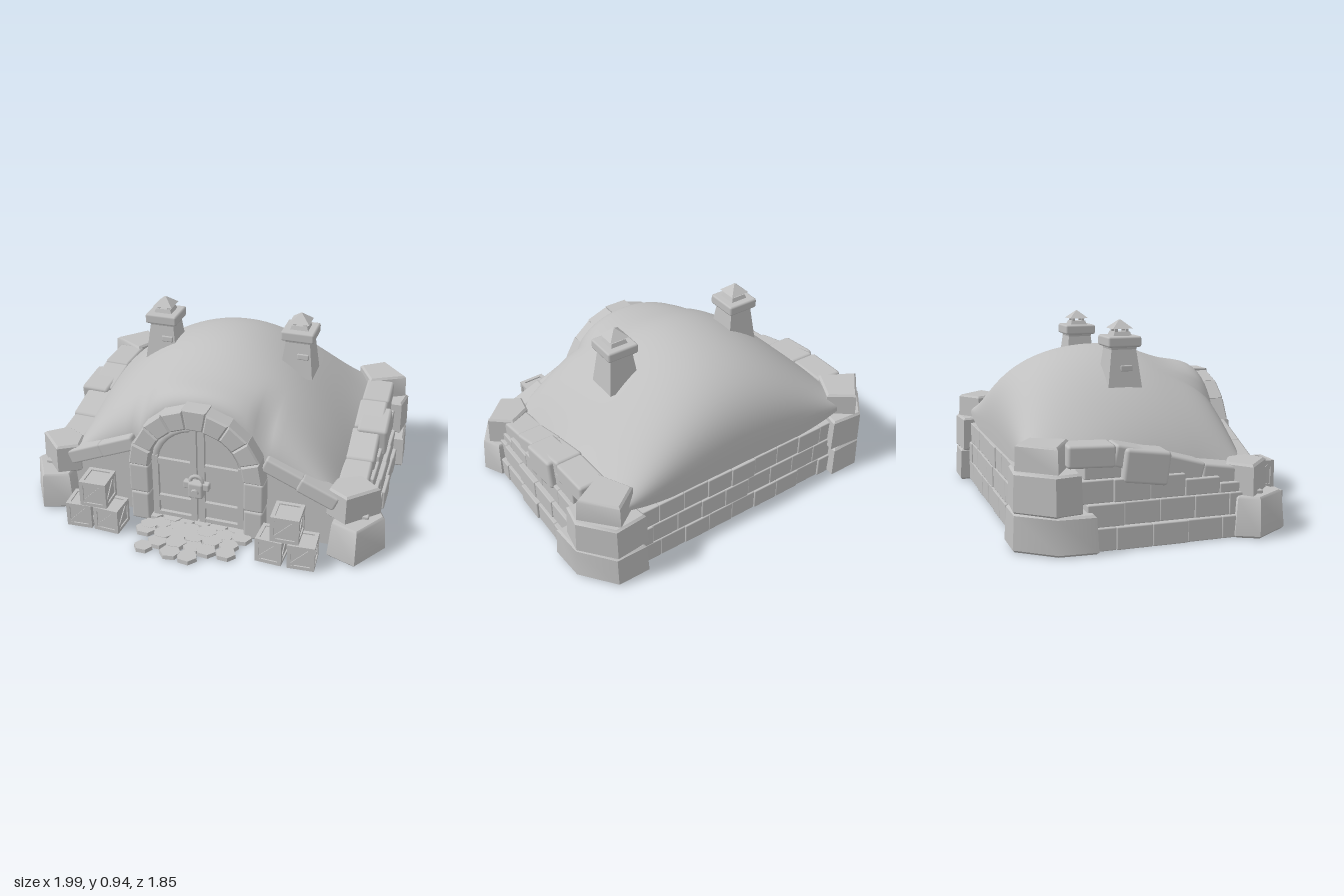
import * as THREE from 'three';
import { RoundedBoxGeometry } from 'three/addons/geometries/RoundedBoxGeometry.js';
import { toCreasedNormals } from 'three/addons/utils/BufferGeometryUtils.js';

const stone = new THREE.MeshStandardMaterial({ color: 0xc0c0c0 });
stone.name = 'grey stone';

let seed = 7;
const rnd = (a) => {
  seed = (seed * 16807) % 2147483647;
  return (seed / 2147483647 - 0.5) * 2 * a;
};
const { clamp, lerp, smoothstep } = THREE.MathUtils;

function add(parent, name, geo, x = 0, y = 0, z = 0, rx = 0, ry = 0, rz = 0) {
  const m = new THREE.Mesh(geo, stone);
  m.name = name;
  m.position.set(x, y, z);
  m.rotation.set(rx, ry, rz);
  parent.add(m);
  return m;
}
const box = (w, h, d) => new THREE.BoxGeometry(w, h, d);
const block = (w, h, d, r = 0.012) => new RoundedBoxGeometry(w, h, d, 1, r);

// Prism with bevelled edges from plan points (x, z), standing from y0 to y1
function prism(points, y0, y1, taper = 1, bevel = 0.01) {
  const shape = new THREE.Shape(points.map(([x, z]) => new THREE.Vector2(x, -z)));
  const g = new THREE.ExtrudeGeometry(shape, {
    depth: y1 - y0 - 2 * bevel, bevelThickness: bevel, bevelSize: bevel, bevelOffset: -bevel, bevelSegments: 1,
  });
  g.rotateX(-Math.PI / 2).translate(0, y0 + bevel, 0);
  const cx = points.reduce((s, p) => s + p[0], 0) / points.length;
  const cz = points.reduce((s, p) => s + p[1], 0) / points.length;
  const p = g.attributes.position;
  for (let i = 0; i < p.count; i++) {
    const k = lerp(1, taper, (p.getY(i) - y0) / (y1 - y0));
    p.setX(i, cx + (p.getX(i) - cx) * k);
    p.setZ(i, cz + (p.getZ(i) - cz) * k);
  }
  return toCreasedNormals(g, 0.7);
}

// Top line of the front wall: low at the corners, rising into the arch
function frontTop(u) {
  const a = Math.abs(u);
  if (a < 0.31) return 0.32 + Math.sqrt(0.31 * 0.31 - a * a) * 0.95;
  return lerp(0.4, 0.25, clamp((a - 0.31) / 0.36, 0, 1));
}
const sideTop = (v) => lerp(0.41, 0.27, smoothstep(v, -0.3, 0.42));

// Roof skin: gentle slope to the sides, full and steep towards the back
function buildRoof(root) {
  const g = new THREE.PlaneGeometry(2, 2, 48, 48).rotateX(-Math.PI / 2);
  const p = g.attributes.position;
  for (let i = 0; i < p.count; i++) {
    const s = Math.sin(p.getX(i) * Math.PI / 2), t = Math.sin(p.getZ(i) * Math.PI / 2);
    const u = s * 0.69, v = t * 0.525 - 0.05;
    const across = Math.pow(Math.max(0, 1 - s * s), s > 0 ? 0.98 : 0.82);
    const along = Math.pow(Math.max(0, 1 - t * t), t < 0 ? 0.32 : 0.44);
    let base = lerp(0.31, sideTop(v) - 0.02, s ** 4);
    base = lerp(base, frontTop(u), smoothstep(t, 0.4, 1));
    p.setXYZ(i, u, base + (0.795 - base) * across * along, v);
  }
  g.computeVertexNormals();
  add(root, 'domedRoof', g);
}

function buildWalls(root) {
  add(root, 'floor', box(1.5, 0.26, 1.0), 0, 0.13, -0.07);
  // Front wall, cut open for the door
  const s = new THREE.Shape();
  s.moveTo(-0.7, 0);
  for (let i = 0; i <= 56; i++) { const u = -0.7 + i * 0.025; s.lineTo(u, frontTop(u)); }
  s.lineTo(0.7, 0).lineTo(0.25, 0).lineTo(0.25, 0.3);
  s.absarc(0, 0.3, 0.25, 0, Math.PI, false);
  s.lineTo(-0.25, 0);
  add(root, 'frontWall', new THREE.ExtrudeGeometry(s, { depth: 0.05, bevelEnabled: false }), 0, 0, 0.42);
  // Back wall courses
  for (let r = 0; r < 3; r++) {
    const w = 1.26 / 9;
    for (let i = 0; i < 9; i++) {
      add(root, 'backBrick', block(w, 0.107, 0.08, 0.005), -0.63 + w * (i + 0.5) + (r % 2 ? 0.02 : -0.02),
        0.054 + r * 0.105, -0.56 + r * 0.006 + rnd(0.004));
    }
  }
  for (const sx of [-1, 1]) {
    // Side wall courses, leaning inward
    for (let r = 0; r < 4; r++) {
      for (let i = 0; i < 5; i++) {
        const v = -0.37 + (i + (r % 2 ? 0.65 : 0.4)) * 0.165;
        const h = Math.min(0.1, sideTop(v) - 0.03 - r * 0.1);
        if (h < 0.03) continue;
        add(root, 'sideBrick', block(0.14, h + 0.002, 0.166, 0.006),
          sx * (0.768 - r * 0.018 + rnd(0.006)), r * 0.1 + h / 2, v);
      }
    }
    // Sloping coping along the sides, one stone larger and set lower
    for (let i = 0; i < 4; i++) {
      const v = -0.31 + i * 0.205;
      const tilt = Math.atan2(sideTop(v - 0.1) - sideTop(v + 0.1), 0.2);
      add(root, 'sideCoping', block(0.14, 0.1, 0.214, 0.014),
        sx * 0.715, sideTop(v) - 0.012, v, tilt, sx * 0.03);
    }
    add(root, 'sideKeyBlock', block(0.15, 0.15, 0.21, 0.016), sx * 0.74, sideTop(-0.07) - 0.035, -0.07, 0.13, sx * 0.03);
    // Front coping running up to the arch
    for (let i = 0; i < 2; i++) {
      const u = 0.41 + i * 0.17;
      add(root, 'frontCoping', block(0.195, 0.075, 0.1), sx * u, frontTop(u) + 0.01, 0.465 + rnd(0.008),
        0, 0, -sx * 0.4);
    }
  }
}

function buildCorners(root) {
  for (const sx of [-1, 1]) {
    const plan = (pts) => pts.map(([x, z]) => [x * sx, z]);
    add(root, 'frontCornerBase', prism(plan([[0.65, 0.36], [0.85, 0.33], [0.9, 0.43], [0.785, 0.61], [0.645, 0.56]]), 0, 0.185, 0.88));
    add(root, 'frontCornerTop', prism(plan([[0.64, 0.38], [0.755, 0.32], [0.86, 0.41], [0.72, 0.545], [0.62, 0.485]]), 0.175, 0.325, 0.95));
    add(root, 'backCornerBase', prism(plan([[0.57, -0.65], [0.735, -0.65], [0.865, -0.485], [0.875, -0.31], [0.6, -0.31]]), 0, 0.17, 0.95));
    add(root, 'backCornerMiddle', prism(plan([[0.56, -0.63], [0.73, -0.645], [0.86, -0.49], [0.84, -0.37], [0.6, -0.36]]), 0.165, 0.345, 0.96));
    add(root, 'backCornerTop', prism(plan([[0.575, -0.54], [0.7, -0.63], [0.84, -0.475], [0.66, -0.375]]), 0.335, 0.46, 0.96));
  }
}

function buildArch(root) {
  const n = 9;
  for (let i = 0; i < n; i++) {
    const a0 = (i / n) * Math.PI + 0.006, a1 = ((i + 1) / n) * Math.PI - 0.006;
    const ro = 0.33 + (i === 4 ? 0.012 : rnd(0.006));
    const s = new THREE.Shape();
    [[0.238, a0], [ro, a0], [ro, a1], [0.238, a1]].forEach(([r, a], k) =>
      s[k ? 'lineTo' : 'moveTo'](Math.cos(a) * r, Math.sin(a) * r));
    add(root, 'archStone', new THREE.ExtrudeGeometry(s, {
      depth: 0.12, bevelThickness: 0.008, bevelSize: 0.008, bevelOffset: -0.006, bevelSegments: 1,
    }), 0, 0.315, 0.42 + rnd(0.005));
  }
  for (const sx of [-1, 1]) for (let i = 0; i < 2; i++) {
    add(root, 'archLeg', block(0.098 + rnd(0.005), 0.157, 0.135), sx * 0.285, 0.08 + i * 0.157, 0.48);
  }
}

function buildDoor(root) {
  const door = new THREE.Group();
  door.name = 'door';
  door.position.z = 0.47;
  const s = new THREE.Shape();
  s.moveTo(-0.24, 0).lineTo(0.24, 0).lineTo(0.24, 0.31);
  s.absarc(0, 0.31, 0.24, 0, Math.PI, false);
  add(door, 'doorPanel', new THREE.ExtrudeGeometry(s, { depth: 0.02, bevelEnabled: false }));
  for (const sx of [-1, 1]) {
    add(door, 'doorStile', box(0.03, 0.52, 0.02), sx * 0.02, 0.27, 0.03);
    add(door, 'doorEdge', box(0.03, 0.36, 0.02), sx * 0.215, 0.18, 0.03);
    for (const y of [0.025, 0.12, 0.33]) add(door, 'doorRail', box(0.19, 0.032, 0.02), sx * 0.125, y, 0.028);
  }
  add(door, 'doorArchTrim', new THREE.TorusGeometry(0.222, 0.018, 4, 16, Math.PI), 0, 0.31, 0.025);
  // Padlock with bar, ring and bosses
  add(door, 'lockBody', block(0.075, 0.085, 0.05), 0, 0.22, 0.055);
  add(door, 'lockBar', block(0.13, 0.04, 0.035, 0.008), 0, 0.24, 0.05);
  add(door, 'lockRing', new THREE.TorusGeometry(0.03, 0.01, 6, 14), 0, 0.262, 0.055);
  add(door, 'lockBoss', new THREE.CylinderGeometry(0.02, 0.02, 0.02, 8), 0, 0.215, 0.085, Math.PI / 2);
  root.add(door);
}

function buildChimney(root, x) {
  const c = new THREE.Group();
  c.name = 'chimney';
  c.position.set(x, 0, -0.04);
  const square = (a, b, h) => {
    const g = new THREE.CylinderGeometry(a * Math.SQRT1_2, b * Math.SQRT1_2, h, 4, 1).rotateY(Math.PI / 4).toNonIndexed();
    g.computeVertexNormals();
    return g;
  };
  add(c, 'stack', square(0.115, 0.165, 0.2), 0, 0.73, 0);
  add(c, 'collar', square(0.13, 0.12, 0.02), 0, 0.815, 0);
  add(c, 'cap', block(0.163, 0.05, 0.163, 0.01), 0, 0.843, 0);
  add(c, 'flue', square(0.075, 0.09, 0.02), 0, 0.877, 0);
  for (const a of [-1, 1]) for (const b of [-1, 1]) add(c, 'post', box(0.014, 0.04, 0.014), a * 0.026, 0.89, b * 0.026);
  add(c, 'hood', square(0.008, 0.1, 0.04), 0, 0.921, 0);
  // Stones poking out of the stack
  add(c, 'stackStone', block(0.06, 0.03, 0.03, 0.006), 0.03, 0.74, 0.06, -0.1);
  add(c, 'stackStone', block(0.03, 0.03, 0.06, 0.006), -0.06, 0.72, 0.01);
  root.add(c);
}

function buildCrate(root, size, x, y, z, turn) {
  const c = new THREE.Group();
  c.name = 'crate';
  c.position.set(x, y + size / 2, z);
  c.rotation.y = turn;
  add(c, 'crateCore', box(size * 0.9, size * 0.9, size * 0.9));
  const b = size * 0.14, e = size / 2 - b / 2;
  for (const i of [-1, 1]) for (const j of [-1, 1]) {
    add(c, 'crateBeam', box(size, b, b), 0, i * e, j * e);
    add(c, 'crateBeam', box(b, size, b), i * e, 0, j * e);
    add(c, 'crateBeam', box(b, b, size), i * e, j * e, 0);
  }
  for (const k of [0, 1, 2, 3]) {
    const side = new THREE.Group();
    side.name = 'crateSide';
    side.rotation.y = k * Math.PI / 2;
    add(side, 'crateBrace', box(size * 1.05, b, 0.008), 0, 0, size * 0.455, 0, 0, Math.PI / 4);
    c.add(side);
  }
  root.add(c);
}

// Irregular slabs packed in front of the door
function buildPaving(root) {
  const slab = (x, z, r = 0.05) => {
    const g = new THREE.CylinderGeometry(r, r * 1.06, 0.02, 6).rotateY(Math.PI / 6 + rnd(0.15));
    g.scale(1.02 + rnd(0.05), 1, 0.9 + rnd(0.05));
    add(root, 'pavingStone', toCreasedNormals(g, 0.5), x + rnd(0.008), 0.01 + rnd(0.002), z + rnd(0.008));
  };
  [6, 6, 6, 5, 2].forEach((n, r) => {
    for (let i = 0; i < n; i++) slab((i - (n - 1) / 2) * 0.083 + (r % 2 ? 0.03 : -0.015), 0.5 + r * 0.066);
  });
  slab(-0.19, 0.765, 0.045);
  slab(-0.22, 0.6, 0.045);
}

export function createModel() {
  const model = new THREE.Group();
  model.name = 'stoneCellar';
  const root = new THREE.Group();
  root.name = 'building';
  root.rotation.y = Math.PI / 6;
  model.add(root);
  buildRoof(root);
  buildWalls(root);
  buildCorners(root);
  buildArch(root);
  buildDoor(root);
  for (const x of [-0.35, 0.35]) buildChimney(root, x);
  for (const sx of [-1, 1]) {
    buildCrate(root, 0.127, sx * 0.55, 0, 0.63, 0.06);
    buildCrate(root, 0.127, sx * 0.403, 0, 0.63, -0.05);
    buildCrate(root, 0.134, sx * 0.47, 0.125, 0.62, 0.03);
  }
  buildPaving(root);
  return model;
}
